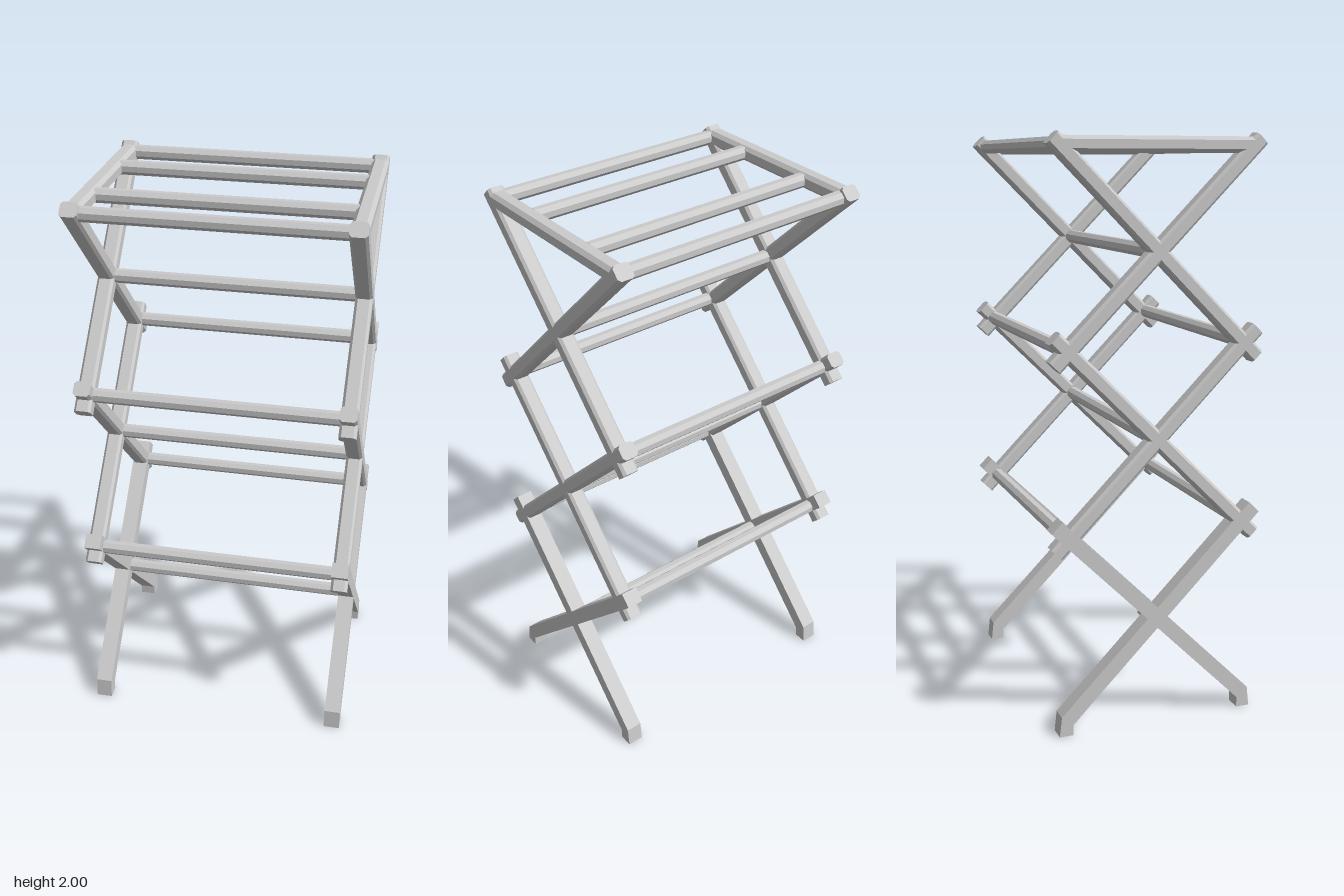
import * as THREE from 'three';

const material = new THREE.MeshStandardMaterial({ color: 0xcccccc, flatShading: true });
const SIDE_X = 0.446;   // centre of each side frame
const WIDTH = 0.058;    // bar width along x
const THICK = 0.052;    // bar thickness within the side frame
const REACH = 0.357;    // bar half length, measured along z and along y
const CROSSINGS = [0.38, 1.0, 1.62];

function addMesh(parent, geometry, name, x, y, z) {
  const mesh = new THREE.Mesh(geometry, material);
  mesh.name = name;
  mesh.position.set(x, y, z);
  parent.add(mesh);
  return mesh;
}

// Bar along z with chamfered long edges
function barGeometry(length, width, thick, c) {
  const a = width / 2, b = thick / 2;
  const section = new THREE.Shape([
    [a, -b + c], [a, b - c], [a - c, b], [-a + c, b],
    [-a, b - c], [-a, -b + c], [-a + c, -b], [a - c, -b],
  ].map(([x, y]) => new THREE.Vector2(x, y)));
  return new THREE.ExtrudeGeometry(section, { depth: length, bevelEnabled: false })
    .translate(0, 0, -length / 2);
}

// Slanted leg with a bent foot, drawn in the z-y plane
function legGeometry() {
  const h = THICK / 2 * Math.SQRT1_2, y0 = CROSSINGS[0];
  const outline = new THREE.Shape([
    [0.307, 0], [0.355, 0], [0.347, y0 + 2 * h - 0.347],
    [-REACH + h, y0 + REACH + h], [-REACH - h, y0 + REACH - h],
    [0.307, y0 - 2 * h - 0.307],
  ].map(([z, y]) => new THREE.Vector2(z, y)));
  return new THREE.ExtrudeGeometry(outline, { depth: WIDTH, bevelEnabled: false })
    .translate(0, 0, -WIDTH / 2).rotateY(-Math.PI / 2);
}

export function createModel() {
  const model = new THREE.Group();
  model.name = 'foldingDryingRack';

  const leg = legGeometry();
  const bar = barGeometry(REACH * 2 * Math.SQRT2, WIDTH, THICK, 0.009);
  const rail = barGeometry(0.66, WIDTH, 0.052, 0.012);
  // Octagonal rod lying along x
  const rod = new THREE.CylinderGeometry(0.025, 0.025, 0.85, 8)
    .rotateZ(Math.PI / 2).rotateX(Math.PI / 8);

  // Side frames: crossed legs, two tiers of crossed bars and a top rail
  for (const side of [1, -1]) {
    const frame = new THREE.Group();
    frame.name = side > 0 ? 'leftFrame' : 'rightFrame';
    frame.position.x = side * SIDE_X;
    model.add(frame);
    addMesh(frame, leg, 'frontLeg', 0, 0, 0);
    addMesh(frame, leg, 'backLeg', 0, 0, 0).rotation.y = Math.PI;
    for (const y of CROSSINGS.slice(1)) {
      for (const tilt of [1, -1]) {
        addMesh(frame, bar, 'crossBar', 0, y, 0).rotation.x = tilt * Math.PI / 4;
      }
    }
    addMesh(frame, rail, 'topRail', 0, 1.957, 0);
  }

  // Rods at the crossings, at the outer joints and across the top
  for (const y of CROSSINGS) addMesh(model, rod, 'crossingRod', 0, y, 0);
  for (const s of [1, -1]) {
    for (const y of [0.69, 1.315]) addMesh(model, rod, 'jointRod', 0, y, s * 0.315);
    for (const z of [0.15, 0.333]) addMesh(model, rod, 'topRod', 0, 1.957, s * z);
  }
  return model;
}
